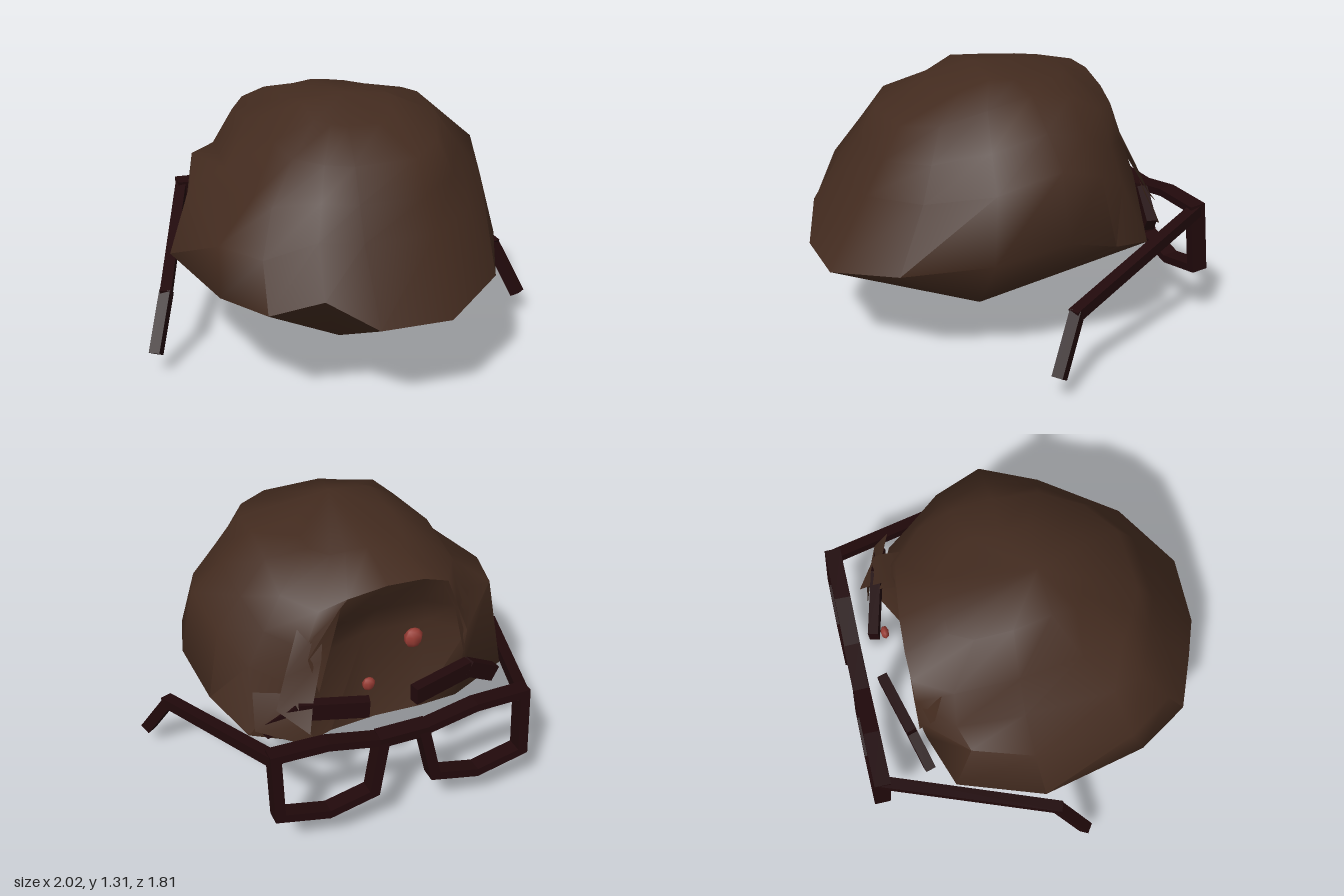
import * as THREE from 'three';
import { toCreasedNormals } from 'three/addons/utils/BufferGeometryUtils.js';

const V = (p) => new THREE.Vector3(...p);

// Faceted surface through rows of points; a row of one point is a pole
function loft(rows, closed, crease) {
  const pos = [], index = [], start = [];
  for (const row of rows) {
    start.push(pos.length / 3);
    row.forEach((p) => pos.push(...p));
  }
  for (let r = 0; r < rows.length - 1; r++) {
    const na = rows[r].length, nb = rows[r + 1].length, n = Math.max(na, nb);
    for (let i = 0; i < (closed ? n : n - 1); i++) {
      const j = (i + 1) % n;
      const a = start[r] + (i % na), b = start[r] + (j % na);
      const c = start[r + 1] + (j % nb), d = start[r + 1] + (i % nb);
      if (a !== b) index.push(a, b, c);
      if (c !== d) index.push(a, c, d);
    }
  }
  const geo = new THREE.BufferGeometry();
  geo.setAttribute('position', new THREE.Float32BufferAttribute(pos, 3));
  geo.setIndex(index);
  geo.computeVertexNormals();
  return toCreasedNormals(geo, crease);
}

// Square bar between two points
function bar(a, b, width, height, material, extra = 0) {
  const from = V(a), to = V(b);
  const mesh = new THREE.Mesh(new THREE.BoxGeometry(width, height, from.distanceTo(to) + extra), material);
  mesh.position.copy(from).add(to).multiplyScalar(0.5);
  mesh.lookAt(to);
  return mesh;
}

export function createModel() {
  const group = new THREE.Group();
  const hairBrown = new THREE.MeshStandardMaterial({ color: 0x432b1f, side: THREE.DoubleSide });
  hairBrown.name = 'hair brown';
  const frameDark = new THREE.MeshStandardMaterial({ color: 0x21090b });
  frameDark.name = 'dark maroon';
  const eyeRed = new THREE.MeshStandardMaterial({ color: 0x983c34 });
  eyeRed.name = 'eye red';
  const add = (mesh, name, parent = group) => {
    mesh.name = name;
    parent.add(mesh);
  };

  // Hair: rings run from the front round by +x, dipping in at the face hollow
  const rim = [
    [0.21, 0.46, 0.9], [0.53, 0.53, 0.68], [0.71, 0.58, 0.3], [0.79, 0.66, -0.03], [0.74, 0.57, -0.3],
    [0.63, 0.5, -0.54], [0.38, 0.47, -0.65], [0.24, 0.43, -0.57], [0, 0.41, -0.53], [-0.22, 0.42, -0.55],
    [-0.4, 0.45, -0.57], [-0.68, 0.5, -0.48], [-0.84, 0.54, -0.07], [-0.73, 0.52, 0.45], [-0.58, 0.52, 0.7],
    [-0.35, 0.59, 0.79], [-0.13, 0.46, 0.89],
  ];
  const middle = [
    [0.2, 0.8, 0.71], [0.45, 0.82, 0.53], [0.64, 0.88, 0.26], [0.72, 0.98, -0.02], [0.67, 0.9, -0.25],
    [0.58, 0.8, -0.42], [0.42, 0.76, -0.58], [0.3, 0.76, -0.43], [0, 0.8, -0.38], [-0.3, 0.8, -0.4],
    [-0.43, 0.84, -0.58], [-0.64, 0.93, -0.38], [-0.72, 0.87, -0.1], [-0.71, 0.74, 0.38], [-0.57, 0.74, 0.6],
    [-0.33, 0.81, 0.65], [-0.14, 0.8, 0.71],
  ];
  const upper = [
    [0.18, 1.1, 0.53], [0.34, 1.13, 0.4], [0.42, 1.2, 0.2], [0.42, 1.24, -0.02], [0.42, 1.21, -0.22],
    [0.41, 1.12, -0.38], [0.28, 1.09, -0.52], [0.15, 1.14, -0.54], [-0.03, 1.18, -0.56], [-0.2, 1.18, -0.57],
    [-0.32, 1.14, -0.57], [-0.42, 1.13, -0.4], [-0.43, 1.16, -0.1], [-0.39, 1.14, 0.2], [-0.36, 1.12, 0.4],
    [-0.24, 1.1, 0.48], [-0.12, 1.1, 0.54],
  ];
  const shoulder = middle.map((m, i) => m.map((v, k) => (v + upper[i][k]) / 2));
  // Notch above the bulge on the -x side
  shoulder[11] = [-0.52, 0.96, -0.42];
  shoulder[12] = [-0.54, 0.93, -0.1];
  shoulder[13] = [-0.53, 0.93, 0.33];
  shoulder[14] = [-0.49, 0.93, 0.48];
  // Crown slopes steeply to the front and gently to the back
  const crown = upper.map((u) => {
    const x = u[0] * 0.55, z = u[2] * 0.6 - 0.02;
    return [x, 1.31 - 0.14 * Math.abs(x) - (z > 0.1 ? 0.46 * (z - 0.1) : 0.11 * (0.1 - z)), z];
  });
  const rings = [[[-0.01, 0, 0.04]], rim, middle, shoulder, upper, crown, [[0, 1.31, 0.09]]];
  add(new THREE.Mesh(loft(rings, true, 1.3), hairBrown), 'hair');

  // Loose locks framing the face
  const locks = [
    [[[0.26, 1.04, -0.53], [0.37, 1.0, -0.49]], [[0.29, 0.87, -0.58], [0.46, 0.82, -0.57]],
      [[0.36, 0.7, -0.66], [0.52, 0.68, -0.62]], [[0.4, 0.59, -0.73]]],
    [[[0.18, 1.11, -0.54], [0.28, 1.07, -0.52]], [[0.23, 0.92, -0.55], [0.35, 0.88, -0.57]], [[0.32, 0.73, -0.63]]],
    [[[0.44, 0.74, -0.6], [0.6, 0.74, -0.53]], [[0.4, 0.62, -0.69], [0.62, 0.58, -0.61]], [[0.36, 0.48, -0.71]]],
    [[[-0.4, 1.1, -0.45], [-0.29, 1.14, -0.57]], [[-0.47, 0.95, -0.51], [-0.36, 0.98, -0.58]], [[-0.42, 0.7, -0.59]]],
  ];
  locks.forEach((rows, i) => add(new THREE.Mesh(loft(rows, false, 0.6), hairBrown), 'hairLock' + (i + 1)));

  // Small faceted eyes
  [[-0.18, 0.83, -0.53, 0.048], [0.09, 0.73, -0.65, 0.032]].forEach(([x, y, z, r], i) => {
    const eye = new THREE.Mesh(new THREE.SphereGeometry(r, 7, 5), eyeRed);
    eye.position.set(x, y, z);
    eye.scale.set(1, 1.1, 0.65);
    add(eye, i ? 'leftEye' : 'rightEye');
  });

  // Moustache halves, spectacle rims and arms, mirrored
  const spectacles = new THREE.Group();
  spectacles.name = 'spectacles';
  group.add(spectacles);
  const lens = [[0.63, 0.635], [0.63, 0.275], [0.37, 0.215], [0.13, 0.27], [0.07, 0.57], [0.36, 0.63]];
  for (const s of [-1, 1]) {
    const side = s > 0 ? 'left' : 'right';
    const flip = ([x, y, z]) => [x * s, y, z];
    const lip = [[0.11, 0.65, -0.71], [0.42, 0.66, -0.63], [0.57, 0.56, -0.59]].map(flip);
    add(bar(lip[0], lip[1], 0.05, 0.09, frameDark), side + 'MoustacheInner');
    add(bar(lip[1], lip[2], 0.05, 0.08, frameDark, 0.02), side + 'MoustacheOuter');

    // Rim: outline with the same outline shrunk as its hole, tipped back at the foot
    const outline = (k) => lens.map(([x, y]) => new THREE.Vector2(s * (0.37 + (x - 0.37) * k), (y - 0.43) * k - 0.17));
    const shape = new THREE.Shape(outline(1));
    shape.holes.push(new THREE.Path(outline(0.81).reverse()));
    const rimGeo = new THREE.ExtrudeGeometry(shape, { depth: 0.08, bevelEnabled: false }).translate(0, 0, -0.04);
    const frame = new THREE.Mesh(rimGeo, frameDark);
    frame.position.set(0, 0.6, -0.825);
    frame.rotation.x = 0.11;
    add(frame, side + 'Rim', spectacles);

    const arm = [[0.605, 0.6, -0.83], [0.88, 0.36, -0.02], [0.97, 0.12, 0.11]].map(flip);
    add(bar(arm[0], arm[1], 0.055, 0.055, frameDark, 0.04), side + 'Arm', spectacles);
    add(bar(arm[1], arm[2], 0.055, 0.055, frameDark, 0.02), side + 'ArmTip', spectacles);
  }
  add(bar([-0.12, 0.56, -0.83], [0.12, 0.56, -0.83], 0.08, 0.05, frameDark), 'bridge', spectacles);

  return group;
}
